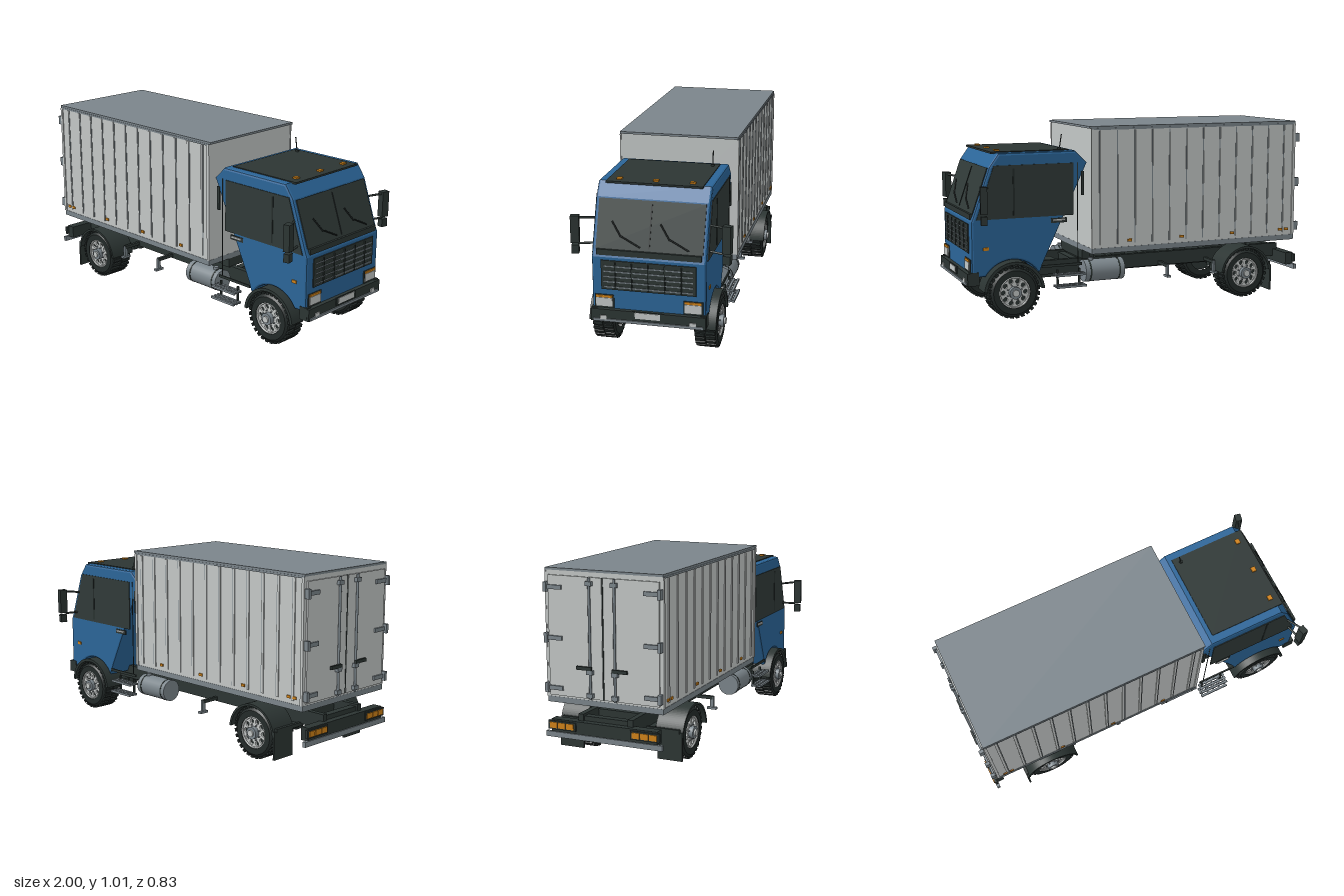
import * as THREE from 'three';
import { mergeGeometries, toCreasedNormals } from 'three/addons/utils/BufferGeometryUtils.js';

const mat = (name, color) => Object.assign(new THREE.MeshStandardMaterial({ color }), { name });
const M = {
  blue: mat('cab blue', 0x2b6598), light: mat('panel grey', 0xc3c7c6), grey: mat('metal grey', 0x7b858b),
  dark: mat('dark trim', 0x2c3533), glass: mat('dark glass', 0x303a38), tyre: mat('tyre black', 0x232a29),
  orange: mat('amber', 0xd08218),
};

function mesh(parent, name, geo, m, pos = [0, 0, 0]) {
  const o = new THREE.Mesh(geo, m);
  o.name = name;
  o.position.set(...pos);
  parent.add(o);
  return o;
}
const box = (p, name, m, size, pos) => mesh(p, name, new THREE.BoxGeometry(...size), m, pos);
// Cylinder along a chosen axis
function rod(p, name, m, r, len, axis, pos, seg = 20) {
  const g = new THREE.CylinderGeometry(r, r, len, seg);
  if (axis === 'z') g.rotateX(Math.PI / 2);
  if (axis === 'x') g.rotateZ(Math.PI / 2);
  return mesh(p, name, g, m, pos);
}
// Straight strut between two points
function strut(p, name, m, a, b, r) {
  const curve = new THREE.LineCurve3(new THREE.Vector3(...a), new THREE.Vector3(...b));
  return mesh(p, name, new THREE.TubeGeometry(curve, 1, r, 8), m);
}
function group(parent, name) {
  const g = new THREE.Group();
  g.name = name;
  parent.add(g);
  return g;
}
const both = fn => [1, -1].forEach(fn);
const polygon = pts => new THREE.Shape(pts.map(p => new THREE.Vector2(...p)));
const extrude = (shape, depth, seg = 24) =>
  new THREE.ExtrudeGeometry(shape, { depth, bevelEnabled: false, curveSegments: seg });

function makeWheel(parent, name, w) {
  const g = group(parent, name), h = w / 2;
  const ring = [[.082, -h], [.118, -h], [.133, -h + .014], [.133, h - .014], [.118, h], [.086, h], [.082, h - .012]];
  const tyre = new THREE.LatheGeometry(ring.map(p => new THREE.Vector2(...p)), 40).rotateX(Math.PI / 2);
  mesh(g, 'tyre', toCreasedNormals(tyre, .6), M.tyre);
  // Staggered tread blocks
  const blocks = [];
  for (let i = 0; i < 28; i++) both(s => {
    const b = new THREE.BoxGeometry(.012, .018, w * .42).translate(.136, 0, s * w * .235);
    blocks.push(b.rotateZ((i + (s > 0 ? .5 : 0)) / 28 * Math.PI * 2));
  });
  mesh(g, 'tread', mergeGeometries(blocks), M.tyre);
  // Pierced rim over a dark backing
  const disc = new THREE.Shape().absarc(0, 0, .084, 0, Math.PI * 2);
  for (let i = 0; i < 10; i++) {
    const a = i / 10 * Math.PI * 2;
    disc.holes.push(new THREE.Path().absarc(Math.cos(a) * .061, Math.sin(a) * .061, .012, 0, Math.PI * 2, true));
  }
  mesh(g, 'rim', extrude(disc, .012, 16), M.light, [0, 0, h - .022]);
  rod(g, 'rimBacking', M.dark, .083, w - .05, 'z', [0, 0, -.004], 32);
  mesh(g, 'rimLip', new THREE.TorusGeometry(.082, .005, 8, 32), M.light, [0, 0, h - .006]);
  rod(g, 'hub', M.grey, .033, .03, 'z', [0, 0, h]);
  rod(g, 'hubCap', M.light, .018, .02, 'z', [0, 0, h + .014]);
  for (let i = 0; i < 8; i++) {
    const a = (i + .5) / 8 * Math.PI * 2;
    rod(g, 'wheelNut', M.grey, .004, .012, 'z', [Math.cos(a) * .042, Math.sin(a) * .042, h - .006], 6);
  }
  return g;
}

function buildChassis(root) {
  const c = group(root, 'chassis');
  both(s => {
    box(c, 'frameRail', M.dark, [1.88, .078, .03], [-.02, .232, s * .14]);
    // Fuel tank with straps
    rod(c, 'fuelTank', M.grey, .061, .23, 'x', [.215, .217, s * .245], 28);
    [.13, .3].forEach(x => rod(c, 'tankStrap', M.dark, .0625, .008, 'x', [x, .217, s * .245], 28));
    rod(c, 'tankCap', M.grey, .015, .02, 'y', [.285, .28, s * .25], 12);
    // Slatted steps
    [[.22, .32], [.158, .325]].forEach(([y, z]) => {
      for (let i = 0; i < 3; i++) box(c, 'stepSlat', M.grey, [.17, .012, .012], [.432, y, s * (z - .024 + i * .024)]);
      for (let i = 0; i < 5; i++) box(c, 'stepBar', M.grey, [.008, .01, .06], [.356 + i * .038, y, s * z]);
    });
    [.37, .495].forEach(x => box(c, 'stepHanger', M.dark, [.01, .09, .012], [x, .2, s * .297]));
    // Hanging side brackets
    [-.475, -.18].forEach(x => {
      box(c, 'sideBracketArm', M.dark, [.018, .018, .13], [x, .21, s * .2]);
      box(c, 'sideBracket', M.grey, [.014, .07, .02], [x, .182, s * .26]);
      box(c, 'sideBracketFoot', M.grey, [.022, .012, .055], [x, .15, s * .26]);
    });
    // Leaf springs and mudflaps
    [-.64, .745].forEach(x => box(c, 'leafSpring', M.dark, [.3, .022, .035], [x, .18, s * .165]));
    box(c, 'mudflap', M.dark, [.01, .15, .14], [-.8, .11, s * .285]);
    box(c, 'mudflapArm', M.dark, [.016, .02, .2], [-.8, .19, s * .24]);
  });
  [-.93, -.78, -.5, -.3, -.1, .1, .32, .55, .9].forEach(x => box(c, 'crossMember', M.dark, [.04, .06, .28], [x, .23, 0]));
  [-.64, .745].forEach(x => rod(c, 'axle', M.dark, .023, .46, 'z', [x, .143, 0]));
  mesh(c, 'differential', new THREE.SphereGeometry(.046, 24, 16), M.dark, [-.64, .14, 0]);
  mesh(c, 'frontDifferential', new THREE.SphereGeometry(.044, 24, 16), M.dark, [.745, .14, 0]);
  rod(c, 'driveShaft', M.dark, .014, 1.15, 'x', [-.07, .17, 0]);
  box(c, 'gearbox', M.dark, [.3, .09, .15], [.56, .205, 0]);
  // Rear bumper and lamps
  box(c, 'rearBeam', M.dark, [.05, .07, .6], [-.96, .2, 0]);
  box(c, 'rearBumper', M.grey, [.018, .028, .66], [-.982, .155, 0]);
  both(s => {
    box(c, 'lampHousing', M.dark, [.014, .045, .16], [-.985, .205, s * .235]);
    for (let i = 0; i < 3; i++) box(c, 'rearLamp', M.orange, [.006, .03, .042], [-.994, .205, s * (.187 + i * .048)]);
  });
  // Wheels and fenders
  [['front', .745, .12, .27, .152, .168], ['rear', -.64, .14, .27, .148, .16]].forEach(([n, x, w, z, r0, r1]) => both(s => {
    const wheel = makeWheel(c, n + 'Wheel', w);
    wheel.position.set(x, .146, s * z);
    if (s < 0) wheel.rotation.y = Math.PI;
    const arch = new THREE.Shape().absarc(0, 0, r1, .1, Math.PI - .1);
    arch.absarc(0, 0, r0, Math.PI - .1, .1, true);
    const d = n === 'front' ? .12 : .155;
    mesh(c, n + 'Fender', extrude(arch, d), M.dark, [x, .143, s > 0 ? (n === 'front' ? .213 : .2) : (n === 'front' ? -.333 : -.355)]);
  }));
}

function buildCargo(root) {
  const c = group(root, 'cargoBox');
  box(c, 'cargoBody', M.light, [1.27, .66, .65], [-.33, .675, 0]);
  box(c, 'cargoRoof', M.grey, [1.285, .012, .655], [-.325, 1.01, 0]);
  box(c, 'cargoFloor', M.grey, [1.272, .03, .654], [-.33, .335, 0]);
  both(s => {
    for (let i = 0; i < 12; i++) {
      const x = -.9 + i * .1045;
      box(c, 'sideRib', M.light, [.014, .625, .006], [x, .68, s * .327]);
      box(c, 'ribGroove', M.grey, [.004, .625, .004], [x + .01, .68, s * .3255]);
    }
    box(c, 'topTrim', M.grey, [1.272, .01, .006], [-.33, 1, s * .327]);
    [-.958, .3].forEach(x => box(c, 'cornerPost', M.light, [.016, .65, .008], [x, .675, s * .327]));
    [-.915, -.875, -.555, -.235, .085].forEach(x => box(c, 'sideMarker', M.orange, [.024, .014, .006], [x, .385, s * .331]));
    // Rear doors with hinges and locking bars
    box(c, 'rearDoor', M.light, [.01, .62, .305], [-.969, .67, s * .157]);
    [.92, .66, .4].forEach(y => {
      box(c, 'hingeStrap', M.grey, [.012, .022, .09], [-.978, y, s * .275]);
      box(c, 'hingeKnuckle', M.grey, [.026, .05, .018], [-.982, y, s * .318]);
    });
    rod(c, 'lockingBar', M.grey, .007, .62, 'y', [-.982, .67, s * .07], 10);
    [.95, .5, .38].forEach(y => box(c, 'barGuide', M.grey, [.022, .022, .034], [-.982, y, s * .07]));
    box(c, 'doorHandle', M.dark, [.012, .018, .085], [-.991, .52, s * .1]);
  });
  box(c, 'doorSeam', M.dark, [.012, .62, .005], [-.969, .67, 0]);
  // Floor mounts onto the chassis
  [-.64, .28].forEach(x => box(c, 'floorMount', M.dark, [.05, .055, .34], [x, .295, 0]));
}

function buildCab(root) {
  const c = group(root, 'cab'), a = Math.asin(.09 / .172), bev = .012;
  const s0 = new THREE.Shape().moveTo(.318, .235);
  s0.absarc(.745, .145, .172, Math.PI - a, a, true);
  [[.968, .235], [.968, .53], [.957, .555], [.866, .815], [.815, .886], [.385, .886], [.318, .82]].forEach(p => s0.lineTo(...p));
  const shell = new THREE.ExtrudeGeometry(s0, { depth: .59 - bev * 2, bevelSize: bev, bevelThickness: bev, bevelOffset: -bev, bevelSegments: 2, curveSegments: 24 });
  mesh(c, 'cabShell', shell, M.blue, [0, 0, -.295 + bev]);
  box(c, 'roofPanel', M.dark, [.435, .01, .5], [.627, .886, 0]);
  [-.19, 0, .19].forEach(z => box(c, 'roofLamp', M.orange, [.025, .012, .028], [.795, .893, z]));
  strut(c, 'aerial', M.dark, [.452, .885, -.218], [.438, .972, -.218], .003);
  rod(c, 'aerialBase', M.dark, .01, .014, 'y', [.452, .893, -.218], 10);

  // Side fittings
  both(s => {
    const win = polygon([[.4, .54], [.94, .54], [.842, .822], [.4, .822]]);
    mesh(c, 'sideWindow', extrude(win, .006), M.glass, [0, 0, s > 0 ? .293 : -.299]);
    box(c, 'windowDivider', M.tyre, [.01, .25, .006], [.735, .68, s * .298]);
    box(c, 'cabVent', M.dark, [.016, .13, .008], [.347, .71, s * .295]);
    box(c, 'doorSeamRear', M.dark, [.004, .55, .003], [.376, .55, s * .295]);
    box(c, 'sill', M.dark, [.23, .014, .008], [.468, .268, s * .295]);
    box(c, 'handleRecess', M.dark, [.09, .026, .006], [.484, .515, s * .295]);
    box(c, 'doorHandle', M.light, [.07, .01, .01], [.484, .517, s * .3]);
    box(c, 'turnLamp', M.orange, [.03, .016, .008], [.89, .385, s * .296]);
    // Mirrors on two arms
    strut(c, 'mirrorArm', M.dark, [.87, .705, s * .28], [.925, .715, s * .375], .006);
    strut(c, 'mirrorArm', M.dark, [.9, .58, s * .285], [.925, .578, s * .375], .006);
    const m = group(c, 'mirror');
    m.position.set(.925, 0, s * .391);
    m.rotation.y = s * .2;
    box(m, 'mirrorHead', M.dark, [.036, .142, .044], [0, .655, 0]);
    box(m, 'lowerMirror', M.dark, [.032, .045, .038], [0, .55, 0]);
  });

  // Sloping windscreen with divider and wipers
  const w = group(c, 'windscreen'), tilt = Math.atan2(.091, .26);
  w.position.set(.9115, .685, 0);
  w.rotation.z = tilt;
  box(w, 'screenGlass', M.glass, [.008, .255, .55], [.001, .004, 0]);
  box(w, 'screenDivider', M.tyre, [.006, .225, .007], [.005, .002, 0]);
  [.045, -.205].forEach(z => {
    strut(w, 'wiperArm', M.tyre, [.01, -.105, z], [.016, -.055, z + .1], .004);
    strut(w, 'wiperBlade', M.tyre, [.014, -.06, z + .1], [.014, .018, z + .152], .004);
  });
  box(c, 'cowl', M.dark, [.016, .03, .54], [.961, .556, 0]);

  // Grille
  box(c, 'grille', M.dark, [.008, .155, .49], [.97, .438, 0]);
  for (let i = 0; i < 5; i++) box(c, 'grilleBar', M.grey, [.006, .006, .46], [.975, .376 + i * .0275, 0]);
  for (let i = -2; i <= 2; i++) box(c, 'grilleUpright', M.dark, [.008, .14, .006], [.976, .438, i * .085]);

  // Headlamps, bumper and plate
  both(s => {
    box(c, 'lampSurround', M.dark, [.008, .07, .1], [.97, .296, s * .23]);
    box(c, 'headlamp', M.light, [.01, .045, .085], [.974, .293, s * .23]);
    box(c, 'indicator', M.orange, [.01, .012, .085], [.974, .323, s * .23]);
    box(c, 'bumperEnd', M.dark, [.05, .07, .03], [.955, .228, s * .283]);
    box(c, 'towPoint', M.light, [.012, .02, .034], [.992, .216, s * .232]);
  });
  box(c, 'frontBumper', M.dark, [.05, .066, .595], [.967, .225, 0]);
  box(c, 'bumperStrip', M.grey, [.014, .014, .57], [.991, .202, 0]);
  box(c, 'plateFrame', M.dark, [.008, .042, .16], [.993, .24, 0]);
  box(c, 'plate', M.light, [.004, .032, .13], [.998, .241, 0]);
}

export function createModel() {
  const root = new THREE.Group();
  root.name = 'boxTruck';
  buildChassis(root);
  buildCargo(root);
  buildCab(root);
  return root;
}
